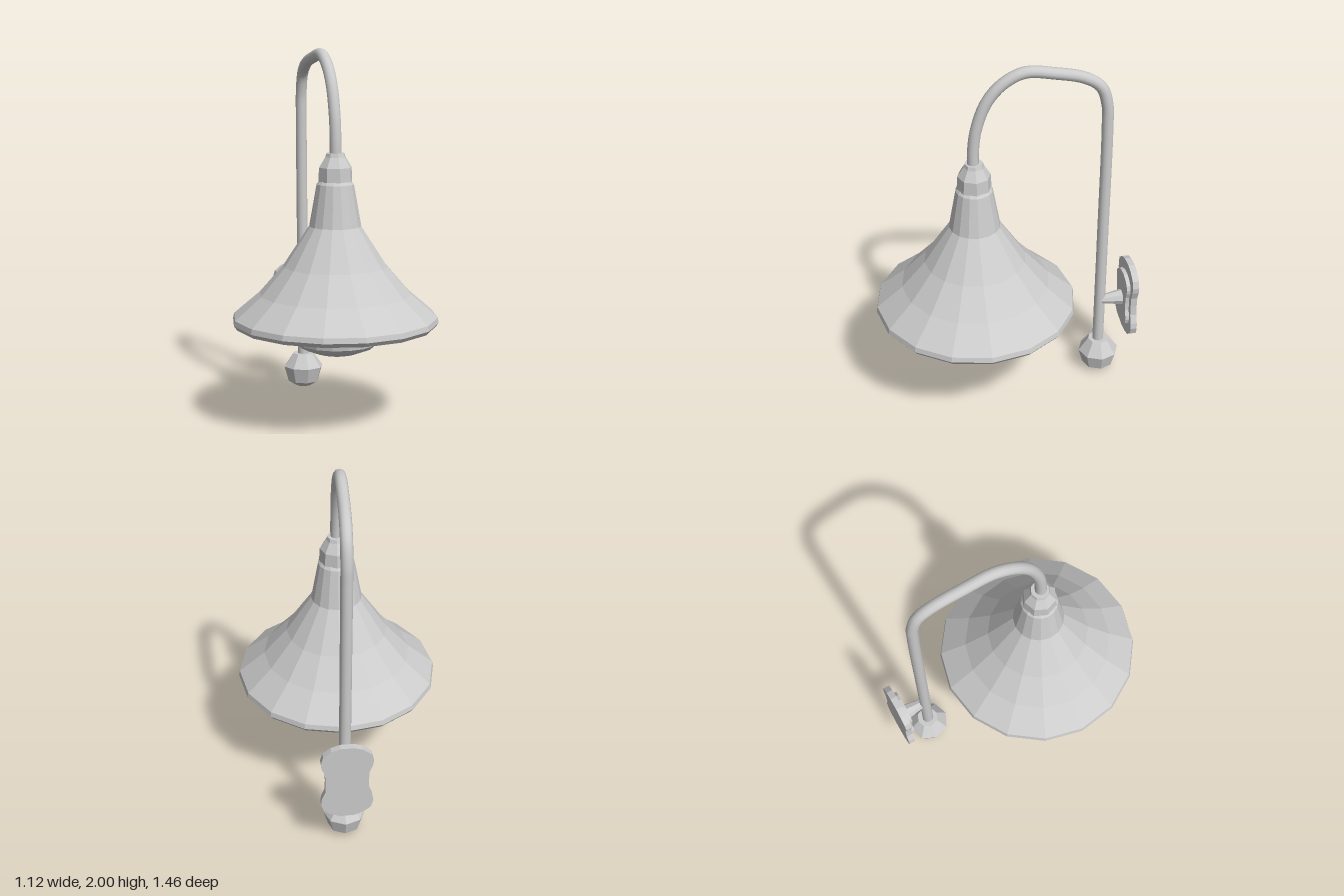
import * as THREE from 'three';

const faceted = new THREE.MeshStandardMaterial({ color: 0xcccccc, flatShading: true, side: THREE.DoubleSide });
const smooth = new THREE.MeshStandardMaterial({ color: 0xcccccc });

function add(parent, name, geometry, material, x = 0, y = 0, z = 0) {
  const mesh = new THREE.Mesh(geometry, material);
  mesh.name = name;
  mesh.position.set(x, y, z);
  parent.add(mesh);
  return mesh;
}

// Turned part from [radius, height] pairs
function turned(profile, sides) {
  return new THREE.LatheGeometry(profile.map(([r, y]) => new THREE.Vector2(r, y)), sides);
}

// Plate outline with arched ends and waisted sides, mirrored from one quarter
function plateOutline(w, h, waist) {
  const quarter = [[waist, 0], [waist * 1.02, 0.25 * h], [w * 0.97, 0.46 * h], [w, 0.6 * h],
    [w * 0.91, 0.78 * h], [w * 0.6, 0.93 * h], [w * 0.25, h]];
  const top = [...quarter, ...quarter.slice(1).reverse().map(([x, y]) => [-x, y])];
  const all = [...top, [-waist, 0], ...top.slice(1).reverse().map(([x, y]) => [x, -y])];
  return new THREE.Shape(all.map(([x, y]) => new THREE.Vector2(x, y)));
}

export function createModel() {
  const lamp = new THREE.Group();
  lamp.name = 'wallLamp';
  const shadeZ = 0.17, postX = 0.015, postZ = -0.545;

  // Flared shade: down the inside, round the rim, up the outside
  add(lamp, 'shade', turned([
    [0, 1.27], [0.08, 1.27], [0.12, 1.05], [0.255, 0.84], [0.39, 0.685], [0.52, 0.57], [0.525, 0.53],
    [0.54, 0.527], [0.558, 0.55], [0.552, 0.578], [0.41, 0.7], [0.28, 0.85], [0.14, 1.065],
    [0.1, 1.29], [0.085, 1.31], [0, 1.31],
  ], 16), faceted, 0, 0, shadeZ);

  // Collar joining the shade to the arm
  add(lamp, 'collar', turned([
    [0, 1.305], [0.094, 1.305], [0.09, 1.38], [0.056, 1.435], [0.05, 1.455], [0, 1.455],
  ], 8), faceted, 0, 0, shadeZ);

  // Glass lantern hanging inside the shade
  add(lamp, 'lightGlass', turned([
    [0, 0.352], [0.03, 0.355], [0.12, 0.378], [0.2, 0.41], [0.222, 0.432],
    [0.232, 0.5], [0.232, 0.74], [0.2, 0.83], [0, 0.83],
  ], 16), faceted, 0.008, 0, shadeZ + 0.005);

  // Bent arm running from the collar over the top and down the post
  const path = [
    [0, 1.43, 0.175], [0, 1.53, 0.173], [0, 1.66, 0.155], [0, 1.81, 0.1], [0, 1.91, 0.015],
    [0, 1.965, -0.1], [0, 1.945, -0.26], [0.002, 1.905, -0.42], [0.004, 1.845, -0.505],
    [0.005, 1.74, -0.54], [0.006, 1.6, -0.546], [0.01, 0.9, -0.545], [postX, 0.15, postZ + 0.003],
  ].map((p) => new THREE.Vector3(...p));
  add(lamp, 'arm', new THREE.TubeGeometry(new THREE.CatmullRomCurve3(path), 90, 0.032, 12), smooth);

  // Finial at the foot of the post
  add(lamp, 'finial', turned([
    [0, 0], [0.04, 0.005], [0.09, 0.035], [0.115, 0.122], [0.06, 0.2], [0, 0.2],
  ], 8), faceted, postX, 0, postZ);

  // Wall mount: two stacked plates and a tapered stem
  const mount = new THREE.Group();
  mount.name = 'wallMount';
  mount.position.set(postX, 0.485, -0.71);
  mount.rotation.y = 0.045;
  lamp.add(mount);
  const plate = (w, h, waist, depth) =>
    new THREE.ExtrudeGeometry(plateOutline(w, h, waist), { depth, bevelEnabled: false });
  add(mount, 'backPlate', plate(0.14, 0.233, 0.115, 0.036), faceted, 0, 0, -0.016);
  add(mount, 'frontPlate', plate(0.1, 0.168, 0.082, 0.022), faceted, 0, 0, 0.02);
  const stem = new THREE.CylinderGeometry(0.024, 0.046, 0.13, 8);
  stem.rotateX(Math.PI / 2);
  add(mount, 'stem', stem, faceted, 0, -0.005, 0.1);

  return lamp;
}
